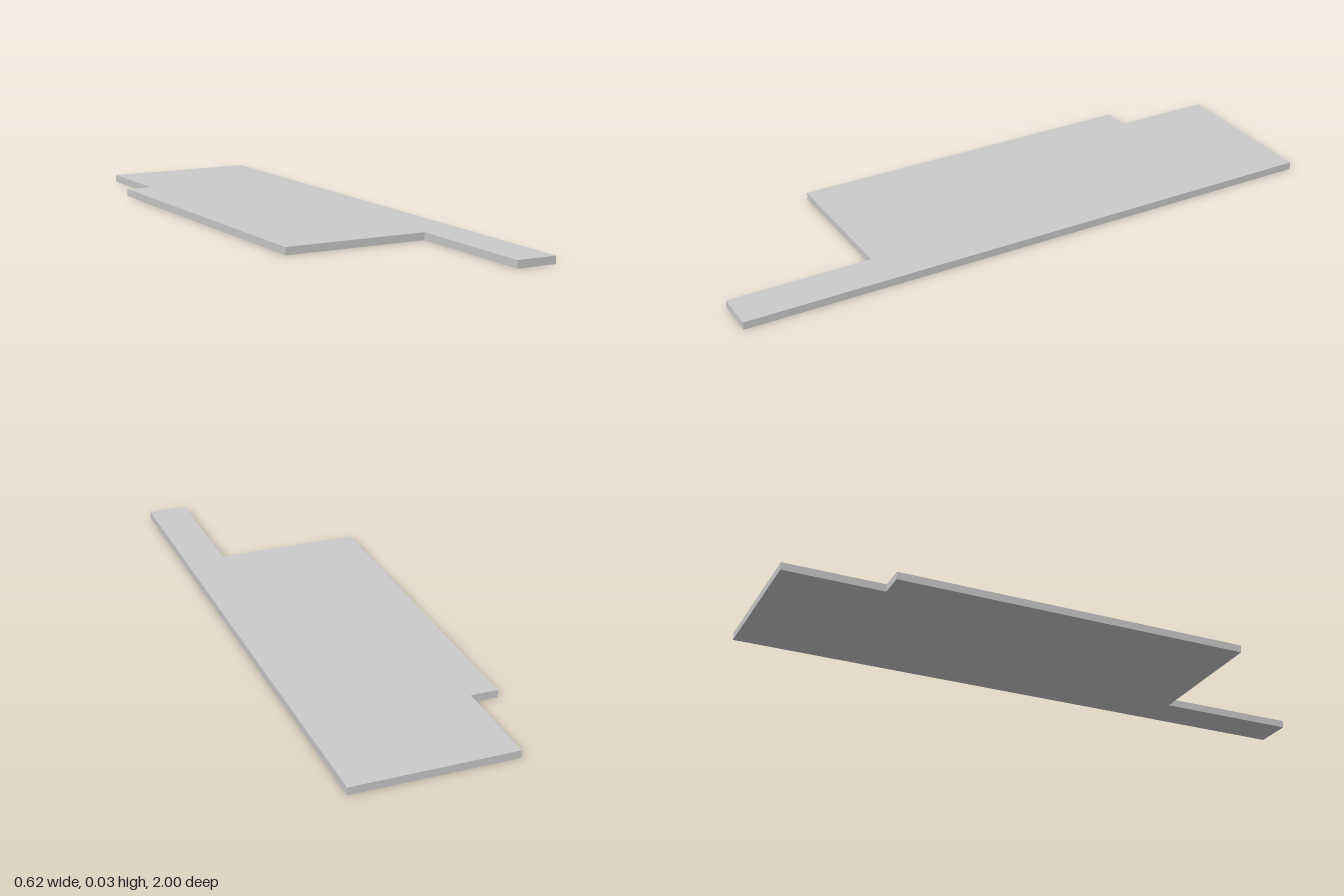
import * as THREE from 'three';

export function createModel() {
  const group = new THREE.Group();

  // Slab outline seen from above, as [x, z]
  const outline = [
    [0.31, 1], [0.31, -1], [-0.22, -1], [-0.22, -0.67],
    [-0.31, -0.67], [-0.31, 0.525], [0.175, 0.525], [0.175, 1],
  ];
  const shape = new THREE.Shape(outline.map(([x, z]) => new THREE.Vector2(x, -z)));

  // Flat slab with a notched back corner and a narrow front strip
  const geometry = new THREE.ExtrudeGeometry(shape, { depth: 0.025, bevelEnabled: false });
  geometry.rotateX(-Math.PI / 2);
  const slab = new THREE.Mesh(
    geometry,
    new THREE.MeshStandardMaterial({ color: 0xcccccc, flatShading: true }),
  );
  slab.name = 'slab';
  group.add(slab);
  return group;
}
